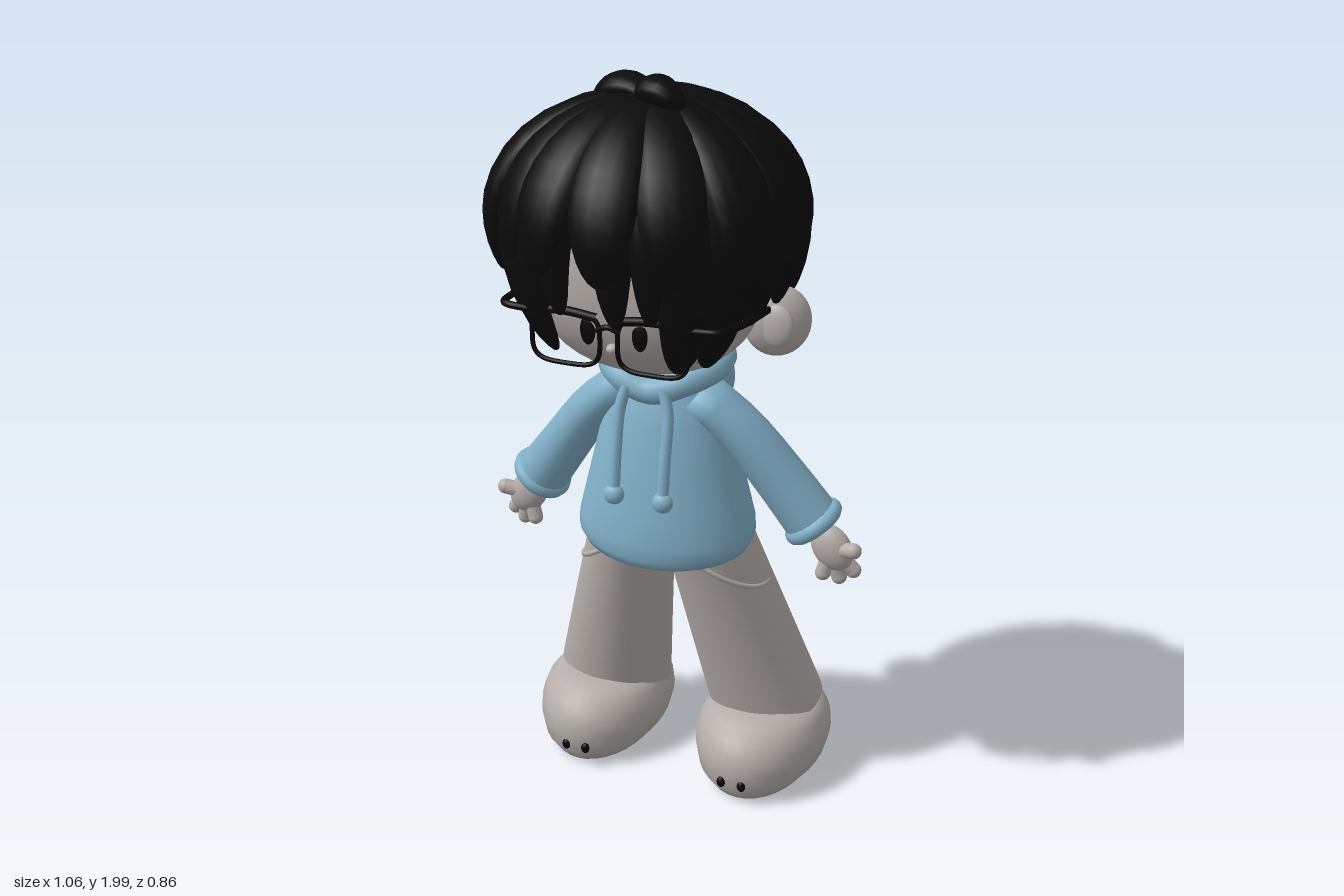
import * as THREE from 'three';

const V = (x, y, z) => new THREE.Vector3(x, y, z);
const mat = (name, color) => {
  const m = new THREE.MeshStandardMaterial({ color });
  m.name = name;
  return m;
};

// Smooth skin over rings { c: centre, u, v: radius vectors }, u x v pointing along the travel
function loft(rings, n = 24) {
  const pos = [], idx = [];
  rings.forEach(({ c, u, v }, i) => {
    for (let j = 0; j < n; j++) {
      const a = (j / n) * Math.PI * 2, p = c.clone().addScaledVector(u, Math.cos(a)).addScaledVector(v, Math.sin(a));
      pos.push(p.x, p.y, p.z);
      if (i === rings.length - 1) continue;
      const A = i * n + j, B = i * n + (j + 1) % n;
      idx.push(A, B, A + n, B, B + n, A + n);
    }
  });
  const g = new THREE.BufferGeometry();
  g.setAttribute('position', new THREE.Float32BufferAttribute(pos, 3));
  g.setIndex(idx);
  g.computeVertexNormals();
  return g;
}

// Elliptical sweep along a curve; size(t) gives [radius along side, radius across]
function sweep(pts, size, side, steps = 12, n = 20) {
  const curve = new THREE.CatmullRomCurve3(pts), rings = [];
  for (let i = 0; i <= steps; i++) {
    const t = Math.sin((i / steps) * Math.PI / 2), d = curve.getTangent(t);
    const u = side.clone().addScaledVector(d, -side.dot(d)).normalize(), v = d.clone().cross(u);
    const [a, b] = size(t);
    rings.push({ c: curve.getPoint(t), u: u.multiplyScalar(a), v: v.multiplyScalar(b) });
  }
  const zero = r => ({ c: r.c, u: V(0, 0, 0), v: V(0, 0, 0) });
  return loft([zero(rings[0]), ...rings, zero(rings[steps])], n);
}

// Stack of level rings [y, rx, rz, rise at the back]
const stack = (x, z, rows) => loft(rows.map(([y, rx, rz, rise = 0]) =>
  ({ c: V(x, y, z), u: V(rx, 0, 0), v: V(0, rise, -rz) })), 36);

const tube = (pts, r, closed = false, seg = 40) =>
  new THREE.TubeGeometry(new THREE.CatmullRomCurve3(pts, closed), seg, r, 10, closed);

function ball(rx, ry, rz, power = 1) {
  const g = new THREE.SphereGeometry(1, 36, 24), p = g.attributes.position;
  const f = q => Math.sign(q) * Math.abs(q) ** power;
  if (power !== 1) for (let i = 0; i < p.count; i++) p.setXYZ(i, f(p.getX(i)), f(p.getY(i)), f(p.getZ(i)));
  g.scale(rx, ry, rz);
  if (power !== 1) g.computeVertexNormals();
  return g;
}

export function createModel() {
  const root = new THREE.Group();
  root.name = 'figure';
  const grey = mat('warm grey', 0xb5aeaa), blue = mat('hoodie blue', 0x82b1c9);
  const hair = mat('hair black', 0x0b0b0b), black = mat('detail black', 0x060606);
  const add = (name, geo, m, x = 0, y = 0, z = 0) => {
    const mesh = new THREE.Mesh(geo, m);
    mesh.name = name;
    mesh.position.set(x, y, z);
    root.add(mesh);
    return mesh;
  };
  const X = V(1, 0, 0), Z = V(0, 0, 1);

  // Head and neck
  add('head', ball(0.3, 0.28, 0.23, 0.85), grey, 0, 1.54, 0.06);
  add('neck', new THREE.CylinderGeometry(0.08, 0.09, 0.16, 24), grey, 0, 1.24, -0.03);
  add('nose', ball(0.016, 0.013, 0.016), grey, 0, 1.375, 0.278);

  // Hoodie body, hanging hood and rolled collar
  add('hoodieBody', stack(0, -0.05, [[0.78, 0, 0], [0.75, 0.2, 0.14, 0.03], [0.75, 0.232, 0.165, 0.035],
    [0.775, 0.245, 0.178, 0.035], [0.81, 0.243, 0.18, 0.03], [0.88, 0.225, 0.173, 0.02], [1.0, 0.195, 0.152, 0.01],
    [1.1, 0.17, 0.13], [1.18, 0.145, 0.108], [1.23, 0.1, 0.08], [1.24, 0, 0]]), blue);
  const hood = add('hood', ball(0.155, 0.14, 0.085), blue, 0, 1.19, -0.125);
  hood.rotation.x = 0.15;
  add('collar', tube([V(0, 1.195, 0.065), V(0.09, 1.225, 0.055), V(0.145, 1.25, -0.03), V(0.115, 1.262, -0.13),
    V(0, 1.265, -0.17), V(-0.115, 1.262, -0.13), V(-0.145, 1.25, -0.03), V(-0.09, 1.225, 0.055)], 0.036, true, 64), blue);

  for (const s of [1, -1]) {
    const side = s > 0 ? 'left' : 'right', P = (x, y, z) => V(x * s, y, z);

    // Ear and eye
    const ear = add(side + 'Ear', ball(0.085, 0.09, 0.055), grey, s * 0.31, 1.4, -0.01);
    ear.rotation.y = s * 0.45;
    add(side + 'EarHollow', ball(0.045, 0.055, 0.02), grey, s * 0.325, 1.4, 0.035);
    add(side + 'Eye', ball(0.02, 0.037, 0.008), black, s * 0.068, 1.412, 0.272);

    // Drawstring
    add(side + 'Drawstring', tube([P(0.05, 1.21, 0.09), P(0.066, 1.15, 0.1), P(0.068, 1.04, 0.122), P(0.068, 0.93, 0.137)], 0.015), blue);
    add(side + 'DrawstringEnd', ball(0.028, 0.027, 0.022), blue, s * 0.068, 0.925, 0.138);

    // Sleeve and cuff
    const arm = [P(0.1, 1.18, -0.02), P(0.21, 1.08, -0.045), P(0.31, 0.95, -0.075), P(0.395, 0.835, -0.095)];
    add(side + 'Sleeve', sweep(arm, t => [0.075, 0.055 + 0.02 * t], Z), blue);
    const dir = arm[3].clone().sub(arm[2]).normalize();
    const cuff = add(side + 'Cuff', new THREE.TorusGeometry(0.062, 0.023, 12, 32), blue, ...arm[3].toArray());
    cuff.quaternion.setFromUnitVectors(Z, dir);

    // Hand
    const palm = add(side + 'Palm', ball(0.052, 0.068, 0.036), grey, s * 0.445, 0.765, -0.105);
    palm.rotation.z = s * 0.6;
    [[0.51, 0.775, -0.085], [0.5, 0.7, -0.125], [0.465, 0.68, -0.115], [0.425, 0.69, -0.1]].forEach(([x, y, z], i) => {
      add(side + 'Finger' + (i + 1), sweep([P(0.445, 0.76, -0.105), P(x, y, z)].flatMap((p, k, q) =>
        k ? [p] : [p, p.clone().lerp(q[1], 0.5)]), () => [0.021, 0.021], Z, 6, 12), grey);
      add(side + 'Fingertip' + (i + 1), ball(0.021, 0.021, 0.021), grey, s * x, y, z);
    });

    // Trouser leg with pocket seam
    add(side + 'Leg', sweep([P(0.1, 0.8, -0.06), P(0.168, 0.5, -0.142), P(0.235, 0.2, -0.225)],
      t => [0.11 + 0.053 * t, 0.125 + 0.02 * t], X, 14, 30), grey);
    const seam = [];
    for (let i = 0; i <= 12; i++) {
      const a = 0.1 + (i / 12) * 2.7, y = 0.735 - 0.11 * Math.sin(a), f = (0.8 - y) / 0.6;
      seam.push(P(0.1 + 0.135 * f + (0.11 + 0.055 * f) * Math.sin(a), y, -0.06 - 0.165 * f + (0.128 + 0.025 * f) * Math.cos(a)));
    }
    add(side + 'PocketSeam', tube(seam, 0.007), grey);

    // Shoe with two eyelets
    add(side + 'Shoe', stack(s * 0.243, -0.183, [[0.045, 0, 0], [0.04, 0.11, 0.17, 0.032], [0.052, 0.15, 0.212, 0.036],
      [0.08, 0.174, 0.235, 0.032], [0.12, 0.183, 0.243, 0.02], [0.155, 0.18, 0.238, 0.01], [0.19, 0.167, 0.215, 0.005],
      [0.215, 0.145, 0.18], [0.23, 0.1, 0.13], [0.235, 0, 0]]), grey);
    for (const x of [0.207, 0.266]) add(side + 'ShoeEyelet', ball(0.012, 0.016, 0.01), black, s * x, 0.072, 0.053);

    // Spectacle rim, brow bar and temple
    const rim = [];
    for (let i = 0; i < 24; i++) {
      const a = (i / 24) * Math.PI * 2, f = q => Math.sign(q) * Math.abs(q) ** 0.55;
      rim.push(P(0.113 + 0.09 * f(Math.cos(a)), 1.397 + 0.066 * f(Math.sin(a)), 0.3));
    }
    add(side + 'Rim', tube(rim, 0.006, true, 72), black);
    add(side + 'BrowBar', tube([P(0.03, 1.455, 0.3), P(0.11, 1.464, 0.302), P(0.2, 1.46, 0.3)], 0.011), black);
    add(side + 'Temple', tube([P(0.2, 1.455, 0.3), P(0.275, 1.46, 0.298), P(0.3, 1.455, 0.22), P(0.305, 1.44, 0.02)], 0.009), black);
  }
  add('bridge', tube([V(-0.03, 1.425, 0.3), V(0, 1.438, 0.306), V(0.03, 1.425, 0.3)], 0.007), black);

  // Hair: a cap under overlapping teardrop locks falling from the crown
  add('hairCap', ball(0.34, 0.29, 0.29), hair, 0, 1.66, -0.03);
  const taper = t => t > 0.6 ? Math.sqrt(Math.max(0, 1 - ((t - 0.6) / 0.4) ** 2)) : 0.35 + 0.65 * Math.sin((t / 0.6) * Math.PI / 2);
  function lock(deg, endY, width, grow = 1) {
    const a = deg * Math.PI / 180, cy = 1.62, pts = [];
    const end = Math.acos((endY - cy) / (endY < cy ? 0.45 : 0.32));
    for (let i = 0; i <= 7; i++) {
      const f = 0.12 + (end - 0.12) * i / 7, c = Math.cos(f), r = Math.sin(f) * grow;
      pts.push(V(0.345 * r * Math.sin(a), cy + c * (c < 0 ? 0.45 : 0.315), 0.03 + 0.34 * r * Math.cos(a)));
    }
    add('hairLock', sweep(pts, t => [width * taper(t), 0.042 * taper(t)], V(Math.cos(a), 0, -Math.sin(a)), 14, 14), hair);
  }
  // Long lower layer: [angle from the front, tip height]
  [[7, 1.45], [22, 1.46], [36, 1.32], [51, 1.33], [69, 1.43], [88, 1.46], [107, 1.42], [-20, 1.46], [-32, 1.44],
    [-42, 1.33], [-56, 1.35], [-72, 1.44], [-90, 1.46], [-108, 1.42], [125, 1.34], [143, 1.32], [161, 1.33], [180, 1.3],
    [199, 1.33], [217, 1.32], [235, 1.34]].forEach(([d, y]) => lock(d, y, Math.abs(d) < 34 ? 0.055 : 0.075));
  // Shorter upper layer
  [[4, 1.56, 1.1], [30, 1.54, 1.06], [58, 1.5, 1.07], [82, 1.53, 1.04], [112, 1.55, 1.03], [140, 1.52, 1.03], [168, 1.54, 1.04],
    [196, 1.5, 1.03], [222, 1.54, 1.03], [250, 1.55, 1.03], [276, 1.52, 1.06], [292, 1.5, 1.12], [318, 1.54, 1.06],
    [337, 1.56, 1.08]].forEach(([d, y, g]) => lock(d, y, 0.085, g));
  // Crown tufts
  add('crownTuft', sweep([V(-0.02, 1.93, 0.06), V(0.02, 1.96, 0.1), V(0.06, 1.965, 0.13), V(0.12, 1.93, 0.14)],
    t => [0.05 * taper(t), 0.035 * taper(t)], Z), hair);
  add('crownTuft', sweep([V(0.02, 1.93, 0.08), V(-0.04, 1.95, 0.05), V(-0.1, 1.945, 0.02), V(-0.17, 1.9, -0.03)],
    t => [0.06 * taper(t), 0.035 * taper(t)], Z), hair);
  return root;
}
